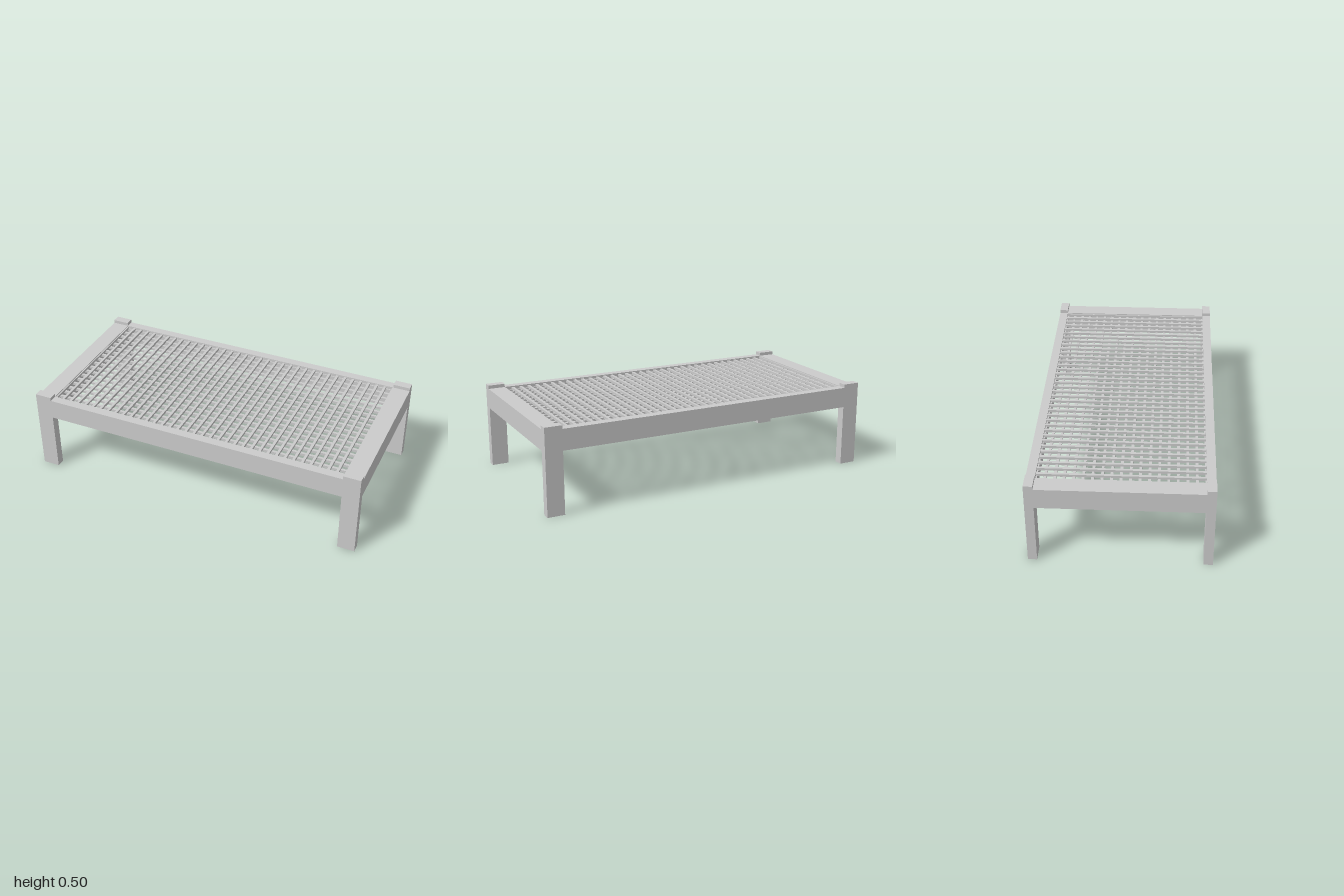
import * as THREE from 'three';

export function createModel() {
  const model = new THREE.Group();
  model.name = 'slattedBedFrame';
  const material = new THREE.MeshStandardMaterial({ color: 0xcccccc, flatShading: true });

  const addBox = (parent, name, size, position) => {
    const mesh = new THREE.Mesh(new THREE.BoxGeometry(...size), material);
    mesh.name = name;
    mesh.position.set(...position);
    parent.add(mesh);
  };

  // Corner legs, rising slightly above the rails
  for (const x of [-1, 1]) {
    for (const z of [-1, 1]) {
      const name = (z > 0 ? 'front' : 'back') + (x > 0 ? 'Left' : 'Right') + 'Leg';
      addBox(model, name, [0.1, 0.5, 0.05], [x * 0.95, 0.25, z * 0.475]);
    }
  }

  // Rails between the legs
  for (const s of [-1, 1]) {
    addBox(model, s > 0 ? 'frontRail' : 'backRail', [1.8, 0.12, 0.05], [0, 0.42, s * 0.475]);
    addBox(model, s > 0 ? 'leftEndRail' : 'rightEndRail', [0.1, 0.12, 0.9], [s * 0.95, 0.42, 0]);
  }

  // Lattice of thin bars: lengthwise bars below, crosswise bars resting on them
  const lattice = new THREE.Group();
  lattice.name = 'lattice';
  const bar = 0.015, pitch = 0.05;
  for (let i = -9; i <= 9; i++) {
    addBox(lattice, 'lengthwiseBar', [1.81, bar, bar], [0, 0.455, i * pitch]);
  }
  for (let i = -18; i <= 18; i++) {
    addBox(lattice, 'crosswiseBar', [bar, bar, 0.91], [i * pitch, 0.467, 0]);
  }
  model.add(lattice);

  return model;
}
